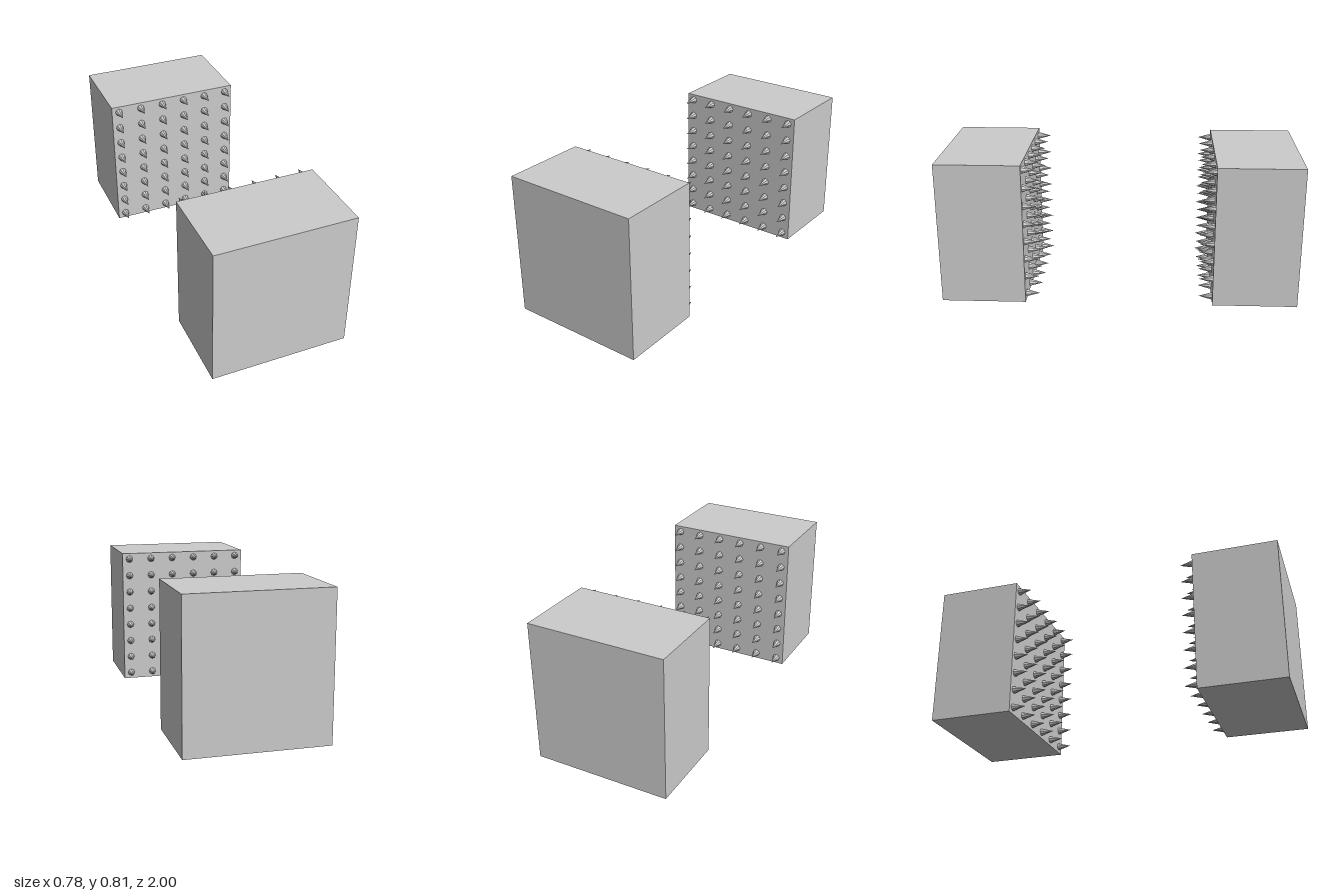
import * as THREE from 'three';

const WIDTH = 0.776, HEIGHT = 0.806, INNER = 0.526, OUTER = 1;
const COLS = 6, ROWS = 8, SPIKE = 0.077;

export function createModel() {
  const model = new THREE.Group();
  const material = new THREE.MeshStandardMaterial({ color: 0xcccccc, flatShading: true });
  const blockGeometry = new THREE.BoxGeometry(WIDTH, HEIGHT, OUTER - INNER);
  // Spike points along +z with its base at the origin
  const spikeGeometry = new THREE.ConeGeometry(0.022, SPIKE, 8)
    .rotateX(Math.PI / 2)
    .translate(0, 0, SPIKE / 2);

  // One block with a grid of spikes on its inner (+z) face
  function spikedBlock(name) {
    const group = new THREE.Group();
    group.name = name;
    const block = new THREE.Mesh(blockGeometry, material);
    block.name = 'block';
    block.position.set(0, HEIGHT / 2, -(INNER + OUTER) / 2);
    group.add(block);

    const spikes = new THREE.Group();
    spikes.name = 'spikes';
    for (let row = 0; row < ROWS; row++) {
      for (let col = 0; col < COLS; col++) {
        const spike = new THREE.Mesh(spikeGeometry, material);
        spike.name = 'spike';
        spike.position.set(-0.345 + col * 0.138, 0.037 + row * 0.1048, -INNER);
        spikes.add(spike);
      }
    }
    group.add(spikes);
    return group;
  }

  // Two blocks facing each other across the gap
  const back = spikedBlock('backSpikedBlock');
  back.position.x = -0.002;
  const front = spikedBlock('frontSpikedBlock');
  front.rotation.y = Math.PI;
  front.position.x = 0.002;
  model.add(back, front);
  return model;
}
